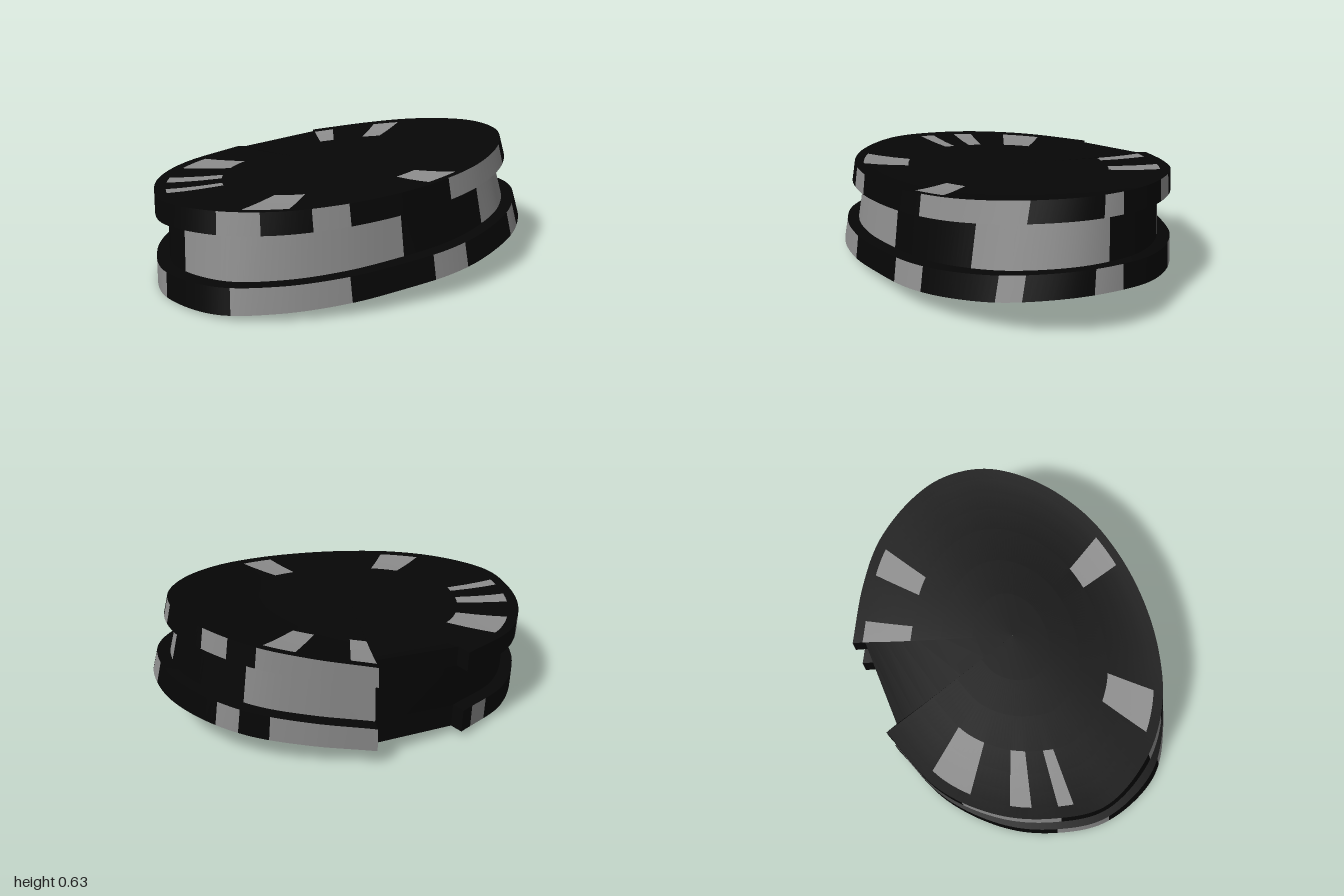
import * as THREE from 'three';
import { toCreasedNormals } from 'three/addons/utils/BufferGeometryUtils.js';

const INSET = 0.065, SEGMENTS = 168;

// Oval outlines [x, z], from one side of the rear notch round to the other
const bottomOutline = [[.36, -.73], [.61, -.55], [.825, -.335], [.96, -.08], [1, .15], [.925, .425], [.7, .645], [.42, .75],
  [.15, .785], [-.15, .75], [-.42, .69], [-.7, .56], [-.92, .36], [-1, .02], [-.92, -.245], [-.77, -.465], [-.49, -.67], [-.12, -.775]];
const topOutline = [[.36, -.73], [.6, -.55], [.78, -.36], [.9, -.1], [.925, .1], [.86, .32], [.67, .52], [.4, .655],
  [.13, .7], [-.15, .685], [-.42, .615], [-.67, .485], [-.865, .275], [-.97, -.02], [-.9, -.27], [-.75, -.5], [-.5, -.69], [-.13, -.785]];

// Bowed, tilted and slightly twisted rims
const yBottom = (x, z) => 0.088 + 0.088 * x + 0.035 * z - 0.04 * z * z + 0.09 * Math.max(x, 0) ** 3 * z;
const yTop = (x, z) => 0.54 + 0.083 * x + 0.045 * z - 0.07 * z * z + 0.015 * x * z;

const curveOf = pts => new THREE.CatmullRomCurve3(pts.map(([x, z]) => new THREE.Vector3(x, 0, z)));
const bottomCurve = curveOf(bottomOutline), topCurve = curveOf(topOutline);

// One closed loop at height t (0..1); the notch always uses the inset wall.
// Loops with scale below 1 lie on a face and sink towards its centre by dish.
function ring({ t, inset = 0, scale = 1, dish = 0 }) {
  const at = (u, d) => {
    const p = bottomCurve.getPoint(u).lerp(topCurve.getPoint(u), t);
    p.multiplyScalar(scale * (1 - d / p.length()));
    p.y = THREE.MathUtils.lerp(yBottom(p.x, p.z), yTop(p.x, p.z), t) + dish * (1 - scale ** 4);
    return p;
  };
  const pts = [at(0, INSET)];
  for (let i = 0; i <= SEGMENTS; i++) pts.push(at(i / SEGMENTS, inset));
  pts.push(at(1, INSET));
  return pts;
}

// Rings joined into a surface; sectors (degrees round the oval) of the light rows are light
function buildBand(name, levels, sectors, lightRows = [0]) {
  const group = new THREE.Group();
  group.name = name;
  const dark = [], light = [];
  const rings = levels.map(ring);
  const tri = new THREE.Triangle();
  for (let r = 0; r < rings.length - 1; r++) {
    const a = rings[r], b = rings[r + 1], n = a.length;
    for (let i = 0; i < n; i++) {
      const j = (i + 1) % n;
      let deg = THREE.MathUtils.radToDeg(Math.atan2(b[i].z + b[j].z + a[i].z + a[j].z, b[i].x + b[j].x + a[i].x + a[j].x));
      if (deg < -90) deg += 360;
      const onCurve = i > 0 && i < n - 2;
      const lit = onCurve && lightRows.includes(r) && sectors.some(([lo, hi]) => deg >= lo && deg <= hi);
      for (const f of [[a[i], b[i], a[j]], [a[j], b[i], b[j]]]) {
        if (tri.set(...f).getArea() < 1e-9) continue;
        for (const p of f) (lit ? light : dark).push(p.x, p.y, p.z);
      }
    }
  }
  for (const [part, data, color] of [['Dark', dark, 0x060606], ['Light', light, 0x8c8c8c]]) {
    if (!data.length) continue;
    const geo = new THREE.BufferGeometry();
    geo.setAttribute('position', new THREE.Float32BufferAttribute(data, 3));
    const mesh = new THREE.Mesh(toCreasedNormals(geo, 0.6), new THREE.MeshStandardMaterial({ color }));
    mesh.name = name + part;
    group.add(mesh);
  }
  return group;
}

// Loops of a dished face, from the rim to the centre
const faceLevels = (t, dish) => [1, 0.94, 0.86, 0.76, 0.64, 0.45, 0.25, 0.001].map(scale => ({ t, scale, dish }));

export function createModel() {
  const model = new THREE.Group();
  model.name = 'ovalSpool';
  const lower = 0.27, upper = 0.77;

  // Shallow dished underside
  model.add(buildBand('underside', faceLevels(0, 0.02).reverse(),
    [[50, 140], [-12, 0], [-32, -18], [15, 20], [150, 158], [170, 178], [190, 200]], [3, 4, 5]));

  // Lower flange and its ledge
  model.add(buildBand('lowerFlange', [{ t: 0 }, { t: lower }, { t: lower, inset: INSET }],
    [[120, 155], [73, 87], [40, 47], [14, 22], [-20, -12], [-64, -30], [178, 195], [248, 256]]));

  // Recessed waist
  model.add(buildBand('waist', [{ t: lower, inset: INSET }, { t: upper, inset: INSET }],
    [[98, 176], [14, 55], [-66, -20]]));

  // Upper flange with its underside ledge
  model.add(buildBand('upperFlange', [{ t: upper, inset: INSET }, { t: upper }, { t: 1 }],
    [[148, 160], [120, 132], [38, 78], [12, 18], [-16, -7], [-64, -25], [195, 225]], [1]));

  // Dished top face
  model.add(buildBand('topFace', faceLevels(1, -0.038),
    [[68, 85], [141, 156], [224, 238], [203, 209], [190, 195], [-64, -54], [-36, -26]], [1, 2, 3]));

  // Centred, standing on the ground
  const box = new THREE.Box3().setFromObject(model);
  const mid = box.getCenter(new THREE.Vector3());
  model.position.set(-mid.x, -box.min.y, -mid.z);
  return model;
}
